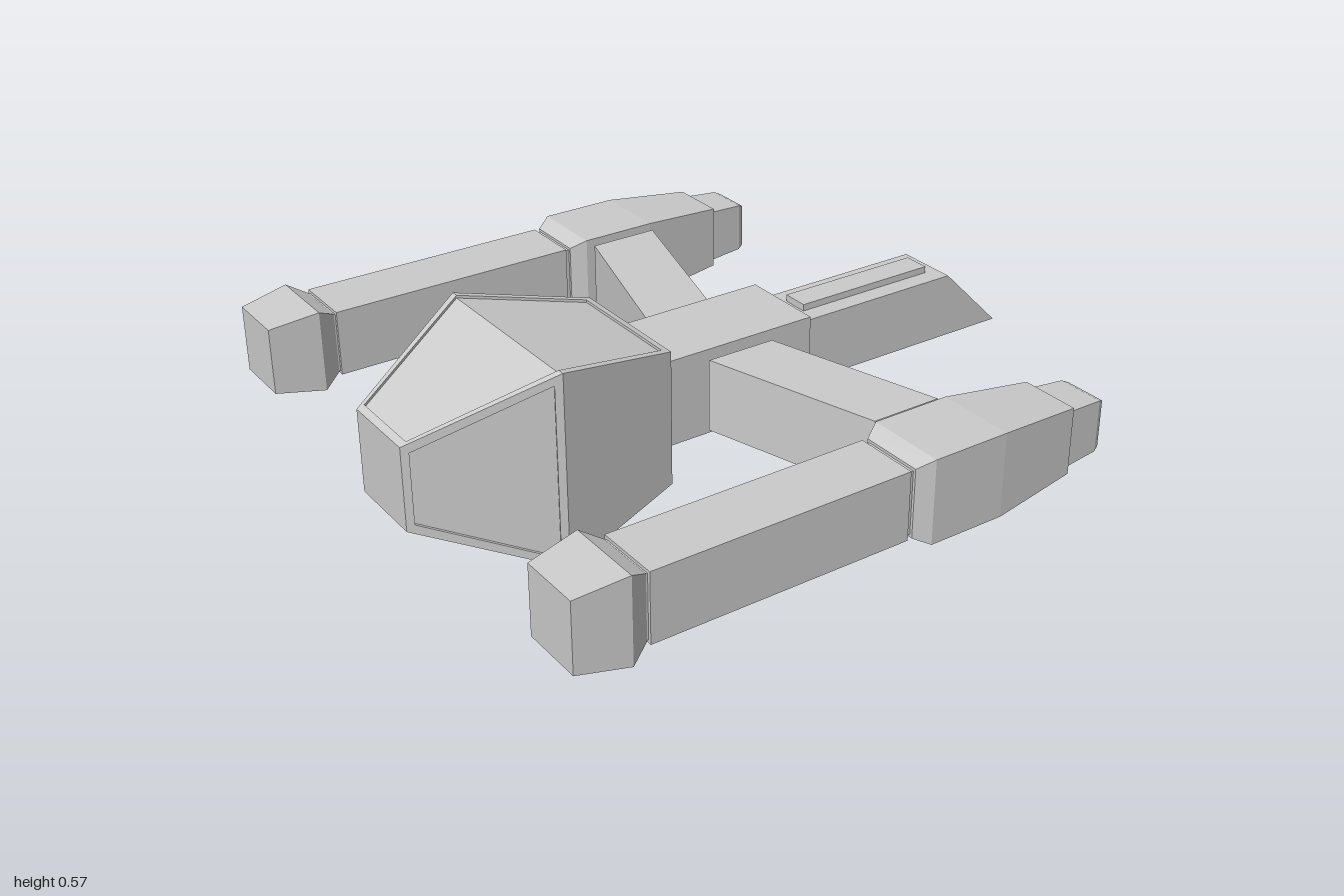
import * as THREE from 'three';

const material = new THREE.MeshStandardMaterial({ color: 0xcccccc, flatShading: true });
const CY = 0.286; // height of the long axis
const V = (x, y, z) => new THREE.Vector3(x, y, z);
const centre = pts => pts.reduce((s, p) => s.add(p), V(0, 0, 0)).divideScalar(pts.length);

// Collects flat convex faces, each turned to look along a given direction
class Faces {
  constructor() { this.positions = []; }
  add(pts, dir) {
    const n = pts[1].clone().sub(pts[0]).cross(pts[2].clone().sub(pts[0]));
    const p = n.dot(dir) < 0 ? [...pts].reverse() : pts;
    for (let i = 1; i < p.length - 1; i++)
      for (const v of [p[0], p[i], p[i + 1]]) this.positions.push(v.x, v.y, v.z);
  }
  // Border ring, short walls and a sunken floor
  recess(outer, inner, dir, depth, floors) {
    const low = inner.map(p => p.clone().addScaledVector(dir, -depth));
    const mid = centre(inner);
    outer.forEach((_, i) => {
      const j = (i + 1) % outer.length;
      this.add([outer[i], outer[j], inner[j], inner[i]], dir);
      const edge = inner[i].clone().add(inner[j]).multiplyScalar(0.5);
      this.add([inner[i], inner[j], low[j], low[i]], mid.clone().sub(edge));
    });
    floors.forEach(f => this.add(f.map(i => low[i]), dir));
  }
  mesh(name) {
    const g = new THREE.BufferGeometry();
    g.setAttribute('position', new THREE.Float32BufferAttribute(this.positions, 3));
    g.computeVertexNormals();
    return named(g, name);
  }
}

function named(geometry, name) {
  const m = new THREE.Mesh(geometry, material);
  m.name = name;
  return m;
}

function box(name, x0, x1, y0, y1, z0, z1) {
  const m = named(new THREE.BoxGeometry(x1 - x0, y1 - y0, Math.abs(z1 - z0)), name);
  m.position.set((x0 + x1) / 2, (y0 + y1) / 2, (z0 + z1) / 2);
  return m;
}

// Rectangular cross-section: top left, top right, bottom right, bottom left
const section = (x, hy, hz) =>
  [[1, 1], [1, -1], [-1, -1], [-1, 1]].map(([a, b]) => V(x, CY + a * hy, b * hz));

// Closed skin through rectangular sections [x, half height, half width]
function loft(name, list) {
  const f = new Faces();
  const s = list.map(a => section(...a));
  for (let k = 0; k < s.length - 1; k++)
    for (let i = 0; i < 4; i++) {
      const j = (i + 1) % 4;
      const quad = [s[k][i], s[k][j], s[k + 1][j], s[k + 1][i]];
      const out = s[k][i].clone().add(s[k][j]);
      f.add(quad, V(0, out.y - 2 * CY, out.z));
    }
  f.add(s[0], V(-1, 0, 0));
  f.add(s[s.length - 1], V(1, 0, 0));
  return f.mesh(name);
}

// Faceted pod with sunken panels on the top and on both leading sides
function makePod() {
  const f = new Faces();
  const [a, b, c] = [section(-1, 0.122, 0.12), section(-0.625, 0.285, 0.283), section(-0.25, 0.2, 0.2)];
  const topY = x => CY + 0.285 + (x + 0.625) * (x < -0.625 ? 0.4347 : -0.2267);
  const top = (x, z) => V(x, topY(x), z);
  f.recess([a[0], b[0], c[0], c[1], b[1], a[1]],
    [top(-0.98, 0.115), top(-0.625, 0.262), top(-0.27, 0.185), top(-0.27, -0.185), top(-0.625, -0.262), top(-0.98, -0.115)],
    V(0, 1, 0), 0.008, [[0, 1, 4, 5], [1, 2, 3, 4]]);
  f.add([a[3], b[3], b[2], a[2]], V(0, -1, 0));
  f.add([b[3], c[3], c[2], b[2]], V(0, -1, 0));
  for (const s of [1, -1]) {
    const [u, d] = s > 0 ? [0, 3] : [1, 2];
    const side = (x, h) => V(x, CY + h, s * (0.12 + (x + 1) * 0.4347));
    f.recess([a[u], b[u], b[d], a[d]],
      [side(-0.98, 0.104), side(-0.645, 0.252), side(-0.645, -0.252), side(-0.98, -0.104)],
      V(-0.4, 0, s * 0.92), 0.008, [[0, 1, 2, 3]]);
    f.add([b[u], c[u], c[d], b[d]], V(0, 0, s));
  }
  f.add(a, V(-1, 0, 0));
  f.add(c, V(1, 0, 0));
  return f.mesh('pod');
}

// Beam with a slanted end that carries a sunken panel
function makeBeam() {
  const f = new Faces();
  const [x0, y0, y1, w] = [0.25, 0.19, 0.385, 0.095];
  const sidePts = z => [V(x0, y0, z), V(1, y0, z), V(0.805, y1, z), V(x0, y1, z)];
  const [l, r] = [sidePts(w), sidePts(-w)];
  f.add(l, V(0, 0, 1));
  f.add(r, V(0, 0, -1));
  f.add([l[0], l[1], r[1], r[0]], V(0, -1, 0));
  f.add([l[2], l[3], r[3], r[2]], V(0, 1, 0));
  f.add([l[0], l[3], r[3], r[0]], V(-1, 0, 0));
  const outer = [l[1], l[2], r[2], r[1]];
  const mid = centre(outer);
  f.recess(outer, outer.map(p => p.clone().lerp(mid, 0.08)), V(0.707, 0.707, 0), 0.008, [[0, 1, 2, 3]]);
  return f.mesh('beam');
}

// Long pod: end cap, main body, swollen engine and nozzle
function makeNacelle() {
  const g = new THREE.Group();
  g.add(
    loft('endCap', [[-0.985, 0.1, 0.092], [-0.84, 0.123, 0.114], [-0.785, 0.092, 0.086]]),
    loft('collar', [[-0.8, 0.09, 0.085], [-0.77, 0.09, 0.085]]),
    loft('mainBody', [[-0.78, 0.099, 0.094], [-0.02, 0.099, 0.094]]),
    loft('collar', [[-0.03, 0.091, 0.084], [0.01, 0.091, 0.084]]),
    loft('engine', [[-0.005, 0.099, 0.092], [0.04, 0.122, 0.116], [0.27, 0.122, 0.116], [0.532, 0.098, 0.088]]),
    loft('nozzle', [[0.52, 0.084, 0.079], [0.645, 0.076, 0.07], [0.663, 0.068, 0.062]])
  );
  return g;
}

// Raked strut between the hull and a nacelle
function makeStrut(s) {
  const g = new THREE.Group();
  const z0 = 0.152, z1 = 0.667;
  const geo = new THREE.BoxGeometry(0.21, 0.215, z1 - z0);
  const p = geo.attributes.position;
  for (let i = 0; i < p.count; i++) p.setX(i, p.getX(i) + s * p.getZ(i) * 0.291);
  geo.computeVertexNormals();
  const strut = named(geo, 'strut');
  strut.position.set(0.085, 0.2875, s * (z0 + z1) / 2);
  g.add(strut);
  const joint = (x, z, d) => box('strutJoint', x - 0.09, x + 0.09, 0.195, 0.38, s * z - d, s * z + d);
  g.add(joint(0.01, 0.14, 0.02), joint(0.165, 0.68, 0.022));
  return g;
}

export function createModel() {
  const model = new THREE.Group();
  model.name = 'spacecraft';
  model.add(makePod(), makeBeam());
  model.add(box('hull', -0.26, 0.265, 0.157, 0.415, -0.13, 0.13));
  model.add(box('topRail', 0.31, 0.763, 0.375, 0.405, -0.04, 0.04));
  for (const s of [1, -1]) {
    const side = s > 0 ? 'left' : 'right';
    const nacelle = makeNacelle();
    nacelle.name = side + 'Nacelle';
    nacelle.position.z = s * 0.804;
    const strut = makeStrut(s);
    strut.name = side + 'Strut';
    model.add(nacelle, strut);
  }
  return model;
}
